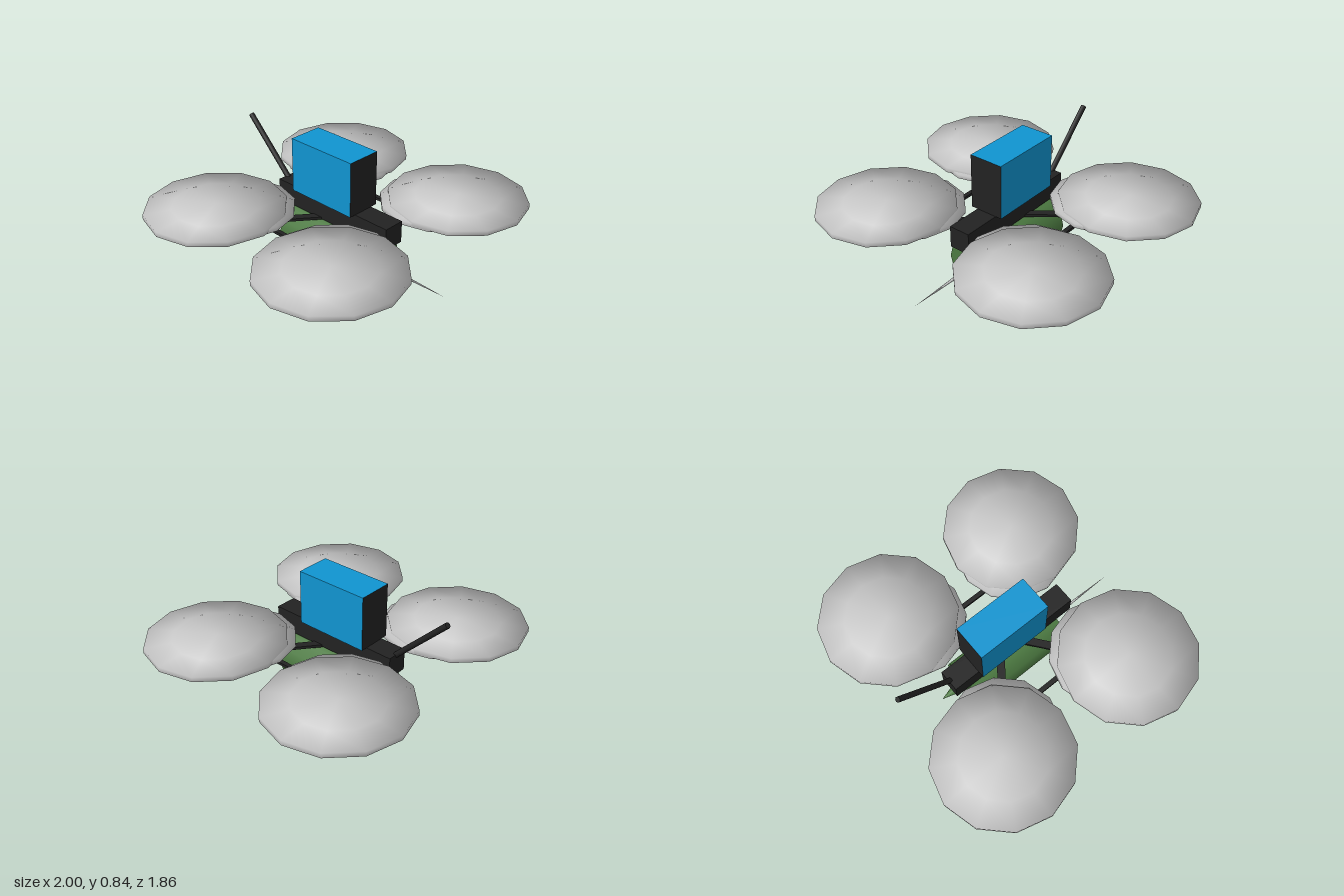
import * as THREE from 'three';

export function createModel() {
  const model = new THREE.Group();
  const mat = (name, color, side = THREE.FrontSide) => {
    const m = new THREE.MeshStandardMaterial({ color, side });
    m.name = name;
    return m;
  };
  const black = mat('black', 0x222222);
  const blue = mat('blue', 0x1094d0);
  const green = mat('green', 0x4c7a41);
  const grey = mat('light grey', 0xc8c8c8, THREE.DoubleSide);

  const add = (name, geometry, material, x, y, z) => {
    const mesh = new THREE.Mesh(geometry, material);
    mesh.name = name;
    mesh.position.set(x, y, z);
    model.add(mesh);
    return mesh;
  };

  // Flat rotor disc: a ball pressed thin, keeping its round shading
  const discGeometry = (radius, half) => {
    const g = new THREE.SphereGeometry(1, 12, 5);
    const p = g.attributes.position;
    const widest = Math.sin(Math.PI * 0.4);
    for (let i = 0; i < p.count; i++) {
      const y = p.getY(i);
      p.setXYZ(
        i,
        (p.getX(i) * radius) / widest,
        Math.sign(y) * Math.sqrt(Math.abs(y)) * half,
        (p.getZ(i) * radius) / widest
      );
    }
    return g;
  };

  // Central frame and battery with dark ends
  add('chassis', new THREE.BoxGeometry(0.14, 0.142, 0.91), black, 0, 0.419, 0);
  add('battery', new THREE.BoxGeometry(0.226, 0.355, 0.49),
    [blue, blue, blue, blue, black, black], 0, 0.668, -0.035);

  // Canister slung under the frame, with a needle in front and a cone behind
  add('canister', new THREE.CylinderGeometry(0.175, 0.175, 0.7, 12).rotateX(Math.PI / 2),
    green, 0, 0.178, 0);
  add('frontNeedle', new THREE.ConeGeometry(0.014, 0.5, 8).rotateX(Math.PI / 2),
    grey, 0, 0.178, 0.6);
  add('rearCone', new THREE.ConeGeometry(0.052, 0.175, 12).rotateX(-Math.PI / 2),
    green, 0, 0.248, -0.437);

  // Antenna leaning backwards
  const antenna = add('antenna', new THREE.CylinderGeometry(0.018, 0.018, 0.48, 8),
    black, 0, 0.65, -0.615);
  antenna.rotation.x = -Math.PI / 4;

  // Arms, motors and rotors in the four corners
  const bigDisc = discGeometry(0.44, 0.028);
  const smallDisc = discGeometry(0.36, 0.024);
  const bigMotor = new THREE.CylinderGeometry(0.11, 0.11, 0.075, 12);
  const smallMotor = new THREE.CylinderGeometry(0.085, 0.085, 0.075, 12);
  for (const sx of [-1, 1]) {
    for (const sz of [-1, 1]) {
      const arm = add('arm', new THREE.BoxGeometry(0.7, 0.018, 0.05), black,
        sx * 0.315, 0.351, sz * 0.3);
      arm.rotation.y = -sx * sz * Math.atan2(0.43, 0.55);
      add('outerMotor', bigMotor, black, sx * 0.56, 0.397, sz * 0.49);
      add('innerMotor', smallMotor, black, sx * 0.46, 0.394, sz * 0.41);
      add('outerRotor', bigDisc, grey, sx * 0.56, 0.465, sz * 0.49);
      add('innerRotor', smallDisc, grey, sx * 0.46, 0.453, sz * 0.41);
    }
    add('sideBar', new THREE.BoxGeometry(0.03, 0.018, 0.66), black, sx * 0.37, 0.352, 0);
  }
  return model;
}
